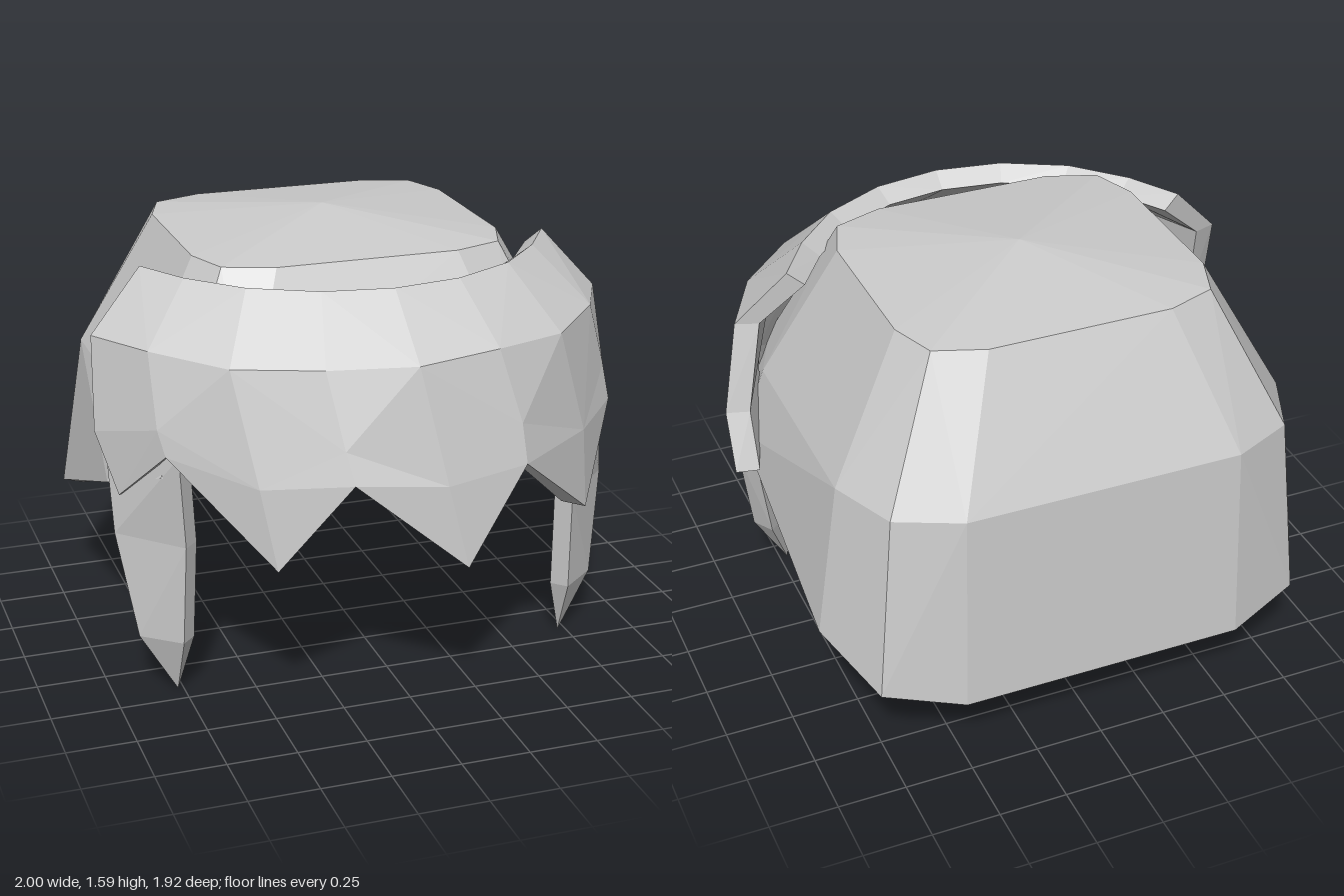
import * as THREE from 'three';

// Flat-faced skin through a list of cross-section loops, optionally capped.
function skin(sections, capped) {
  const out = [];
  const cross = (a, b, c) => b.clone().sub(a).cross(c.clone().sub(a));
  const tri = (a, b, c) => {
    if (cross(a, b, c).length() < 1e-7) return;
    for (const p of [a, b, c]) out.push(p.x, p.y, p.z);
  };
  // Bent quads are split along the diagonal that bulges outward
  const quad = (a, b, c, d) => {
    if (cross(a, b, c).dot(d.clone().sub(a)) <= 1e-9) { tri(a, b, c); tri(a, c, d); }
    else { tri(a, b, d); tri(b, c, d); }
  };
  const n = sections[0].length;
  for (let j = 0; j < sections.length - 1; j++) {
    const s = sections[j], t = sections[j + 1];
    for (let k = 0; k < n; k++) {
      const m = (k + 1) % n;
      quad(s[k], s[m], t[m], t[k]);
    }
  }
  if (capped) {
    const s = sections[0], t = sections[sections.length - 1];
    for (let k = 0; k < n / 2 - 1; k++) {
      quad(s[n - 1 - k], s[n - 2 - k], s[k + 1], s[k]);
      quad(t[k], t[k + 1], t[n - 2 - k], t[n - 1 - k]);
    }
  }
  const g = new THREE.BufferGeometry();
  g.setAttribute('position', new THREE.Float32BufferAttribute(out, 3));
  g.computeVertexNormals();
  return g;
}

const V = (x, y, z) => new THREE.Vector3(x, y, z);
const CX = -0.025, CZ = -0.175;

// Rounded-square ring of 12 points; q holds the three corner points of one quadrant.
function ring(q, height) {
  const r = [...q].reverse();
  const pts = [
    ...q,
    ...r.map(([x, z]) => [-x, z]),
    ...q.map(([x, z]) => [-x, -z]),
    ...r.map(([x, z]) => [x, -z]),
  ];
  return pts.map(([x, z]) => V(CX + x, height(CZ + z), CZ + z));
}

export function createModel() {
  const group = new THREE.Group();
  const hair = new THREE.MeshStandardMaterial({ color: 0xcccccc });
  hair.name = 'hair grey';
  const add = (name, geometry) => {
    const mesh = new THREE.Mesh(geometry, hair);
    mesh.name = name;
    group.add(mesh);
  };

  // Main cap: low peak, crown, widest band, sloping hem and a shallow hollow below
  const hem = z => (z > -0.59 ? 0.667 + 0.378 * z : 0.445 + 0.5 * (z + 0.59));
  const point = y => Array.from({ length: 12 }, () => V(CX, y, CZ));
  const hemCorner = [[0.935, 0.42], [0.805, 0.685], [0.525, 0.785]];
  add('hairCap', skin([
    point(1.59),
    ring([[0.575, 0.29], [0.515, 0.46], [0.335, 0.525]], () => 1.52),
    ring([[0.845, 0.4], [0.74, 0.65], [0.51, 0.755]], () => 1.02),
    ring(hemCorner, hem),
    ring(hemCorner.map(([x, z]) => [x * 0.94, z * 0.94]), hem),
    point(0.69),
  ], false));

  // Fringe: columns from right to left, each with four rows from top to zigzag tip
  const rows = [
    [[-0.78, 1.49, 0.08], [-0.67, 1.49, 0.27], [-0.5, 1.49, 0.45], [-0.27, 1.49, 0.57], [-0.02, 1.49, 0.61],
      [0.23, 1.49, 0.57], [0.46, 1.49, 0.45], [0.63, 1.49, 0.27], [0.75, 1.49, 0.08]],
    [[-0.98, 1.28, 0.16], [-0.84, 1.29, 0.42], [-0.62, 1.28, 0.66], [-0.33, 1.29, 0.8], [-0.02, 1.29, 0.86],
      [0.29, 1.3, 0.8], [0.58, 1.28, 0.66], [0.8, 1.29, 0.42], [0.93, 1.28, 0.16]],
    [[-1.0, 0.96, 0.25], [-0.84, 1.04, 0.52], [-0.56, 0.89, 0.79], [-0.29, 1.03, 0.89], [0.06, 0.88, 0.94],
      [0.36, 1.04, 0.85], [0.69, 0.9, 0.64], [0.87, 1.05, 0.4], [1.0, 0.95, 0.11]],
    [[-0.945, 0.755, 0.36], [-0.82, 0.95, 0.55], [-0.51, 0.6, 0.83], [-0.27, 0.92, 0.93], [0.13, 0.58, 0.96],
      [0.37, 0.9, 0.88], [0.71, 0.6, 0.64], [0.89, 0.92, 0.42], [1.0, 0.74, 0.03]],
  ];
  const inner = ([x, y, z], i) => {
    const k = 1 - (i === 0 ? 0.06 : 0.085) / Math.hypot(x, z);
    return V(x * k, y - (i === 0 ? 0.05 : 0), z * k - (i === 0 ? 0.01 : 0.015));
  };
  const columns = rows[0].map((_, c) => [
    ...rows.map(r => V(...r[c])),
    ...rows.map((r, i) => inner(r[c], i)).reverse(),
  ]);
  add('fringe', skin(columns, true));

  // Side locks: tapering slanted blades, mirrored about the cap's middle
  const blade = [
    [0.95, [[0.92, 0.27], [0.73, 0.57], [0.68, 0.52], [0.87, 0.22]]],
    [0.6, [[0.91, 0.33], [0.705, 0.54], [0.655, 0.49], [0.86, 0.265]]],
    [0.22, [[0.85, 0.4], [0.715, 0.51], [0.665, 0.46], [0.8, 0.32]]],
    [0, [[0.72, 0.42], [0.72, 0.42], [0.72, 0.42], [0.72, 0.42]]],
  ];
  const left = blade.map(([y, pts]) => pts.map(([x, z]) => V(x, y, z)));
  const right = left.map(s => s.map(p => V(2 * CX - p.x, p.y, p.z)).reverse());
  add('leftSideLock', skin(left, true));
  add('rightSideLock', skin(right, true));

  return group;
}
